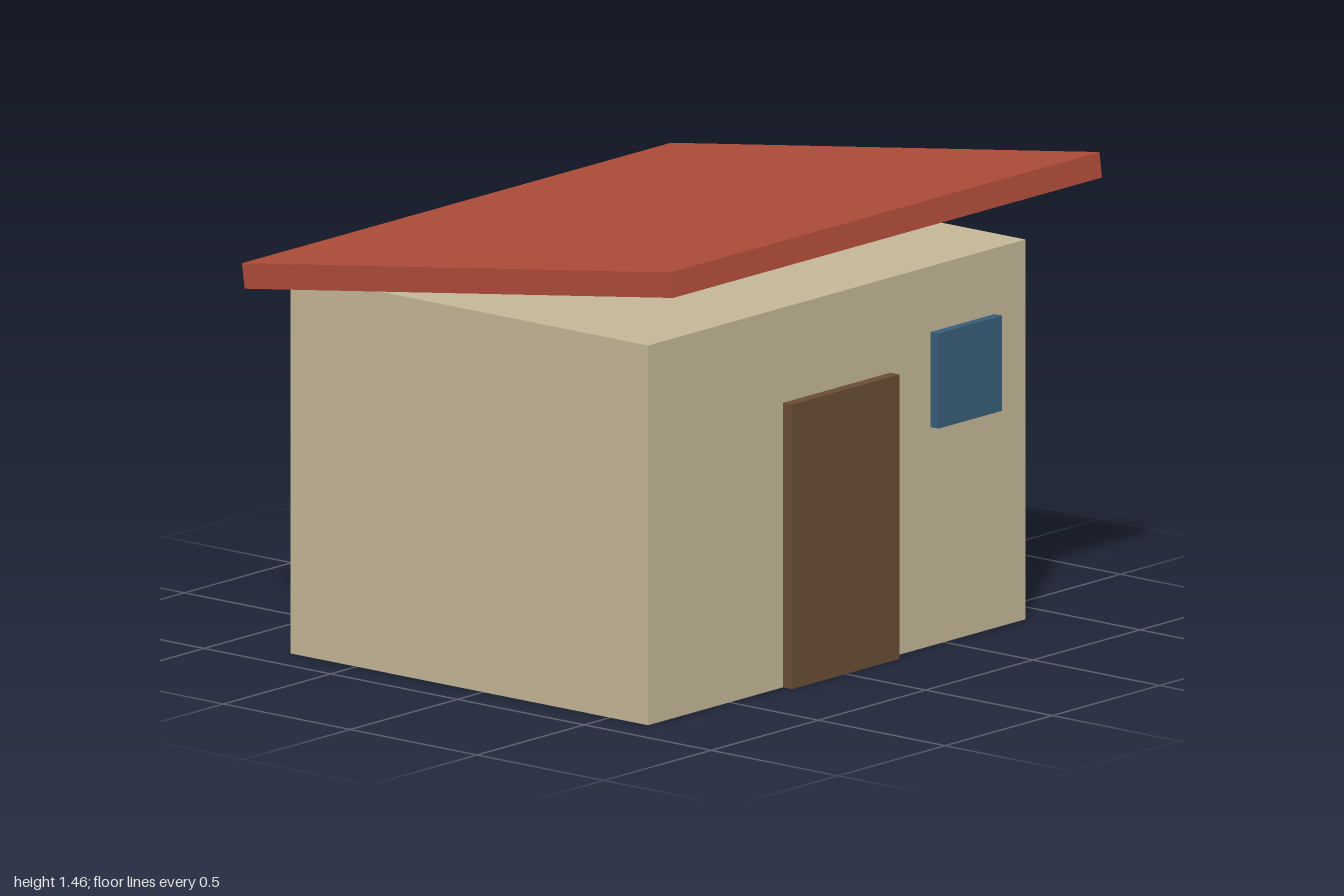
import * as THREE from 'three';

export function createModel() {
  const group = new THREE.Group();
  group.name = 'hut';

  const material = (name, color) => {
    const m = new THREE.MeshStandardMaterial({ color });
    m.name = name;
    return m;
  };
  const plaster = material('plaster', 0xc4b596);
  const roofRed = material('roofRed', 0xad4b38);
  const wood = material('wood', 0x694d36);
  const glass = material('glass', 0x375d78);

  // Box given by its extents along each axis
  const block = (name, mat, [x0, x1], [y0, y1], [z0, z1]) => {
    const mesh = new THREE.Mesh(new THREE.BoxGeometry(x1 - x0, y1 - y0, z1 - z0), mat);
    mesh.position.set((x0 + x1) / 2, (y0 + y1) / 2, (z0 + z1) / 2);
    mesh.name = name;
    group.add(mesh);
    return mesh;
  };

  // Walls
  block('walls', plaster, [-0.88, 0.88], [0, 1.177], [-0.76, 0.65]);

  // Door and window stand slightly proud of the front wall
  block('door', wood, [-0.25, 0.25], [0, 0.882], [0.64, 0.685]);
  block('window', glass, [0.437, 0.735], [0.678, 0.973], [0.64, 0.68]);

  // Overhanging slab roof, sloping down to the back
  const roof = block('roof', roofRed, [-1, 1], [1.259, 1.337], [-0.853, 0.853]);
  roof.rotation.x = -0.14;

  return group;
}
